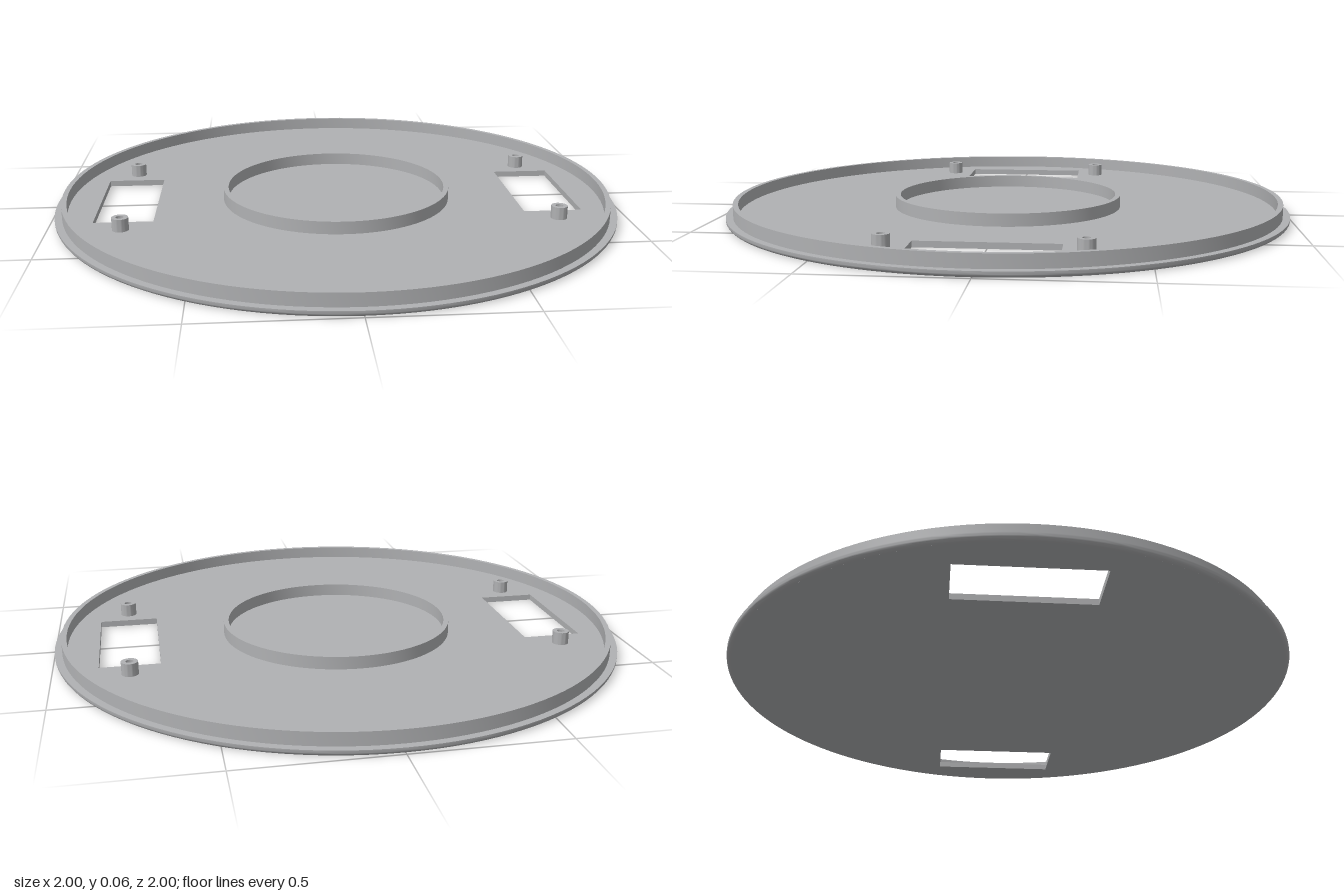
import * as THREE from 'three';
import { toCreasedNormals } from 'three/addons/utils/BufferGeometryUtils.js';

const FLOOR = 0.021; // plate thickness
const TOP = 0.065; // height of the rim, ring and posts
const FILLET = 0.016; // rounding of the lower outer edge

export function createModel() {
  const group = new THREE.Group();
  const grey = new THREE.MeshStandardMaterial({ color: 0xb0b1b3 });
  grey.name = 'grey plastic';

  const add = (name, geometry, x = 0, y = 0, z = 0) => {
    const mesh = new THREE.Mesh(toCreasedNormals(geometry, 0.5), grey);
    mesh.name = name;
    mesh.position.set(x, y, z);
    group.add(mesh);
  };
  const lathe = (points, segments) =>
    new THREE.LatheGeometry(points.map(([r, y]) => new THREE.Vector2(r, y)), segments);
  // Upright tube wall standing on the plate
  const wall = (inner, outer, segments) =>
    lathe([[outer, FLOOR], [outer, TOP], [inner, TOP], [inner, FLOOR]], segments);

  // Round plate with two rectangular windows
  const disc = new THREE.Shape().absarc(0, 0, 1 - FILLET, 0, Math.PI * 2, false);
  for (const side of [-1, 1]) {
    const cx = side * 0.745, w = 0.102, d = 0.233;
    disc.holes.push(new THREE.Path([
      new THREE.Vector2(cx - w, -d), new THREE.Vector2(cx - w, d),
      new THREE.Vector2(cx + w, d), new THREE.Vector2(cx + w, -d),
    ]));
  }
  const plate = new THREE.ExtrudeGeometry(disc, { depth: FLOOR, bevelEnabled: false, curveSegments: 128 });
  plate.rotateX(-Math.PI / 2);
  add('plate', plate);

  // Rounded outer edge of the plate
  const edge = [];
  for (let i = 0; i <= 6; i++) {
    const a = (i / 6) * Math.PI / 2;
    edge.push([1 - FILLET + FILLET * Math.sin(a), FILLET * (1 - Math.cos(a))]);
  }
  edge.push([1, FLOOR], [1 - FILLET, FLOOR]);
  add('plateEdge', lathe(edge, 128));

  // Raised outer rim and central ring
  add('outerRim', wall(0.957, 0.975, 128));
  add('centreRing', wall(0.391, 0.409, 96));

  // Hollow screw posts at both ends of each window
  for (const x of [-0.745, 0.745])
    for (const z of [-0.306, 0.306]) add('screwPost', wall(0.013, 0.028, 32), x, 0, z);

  return group;
}
